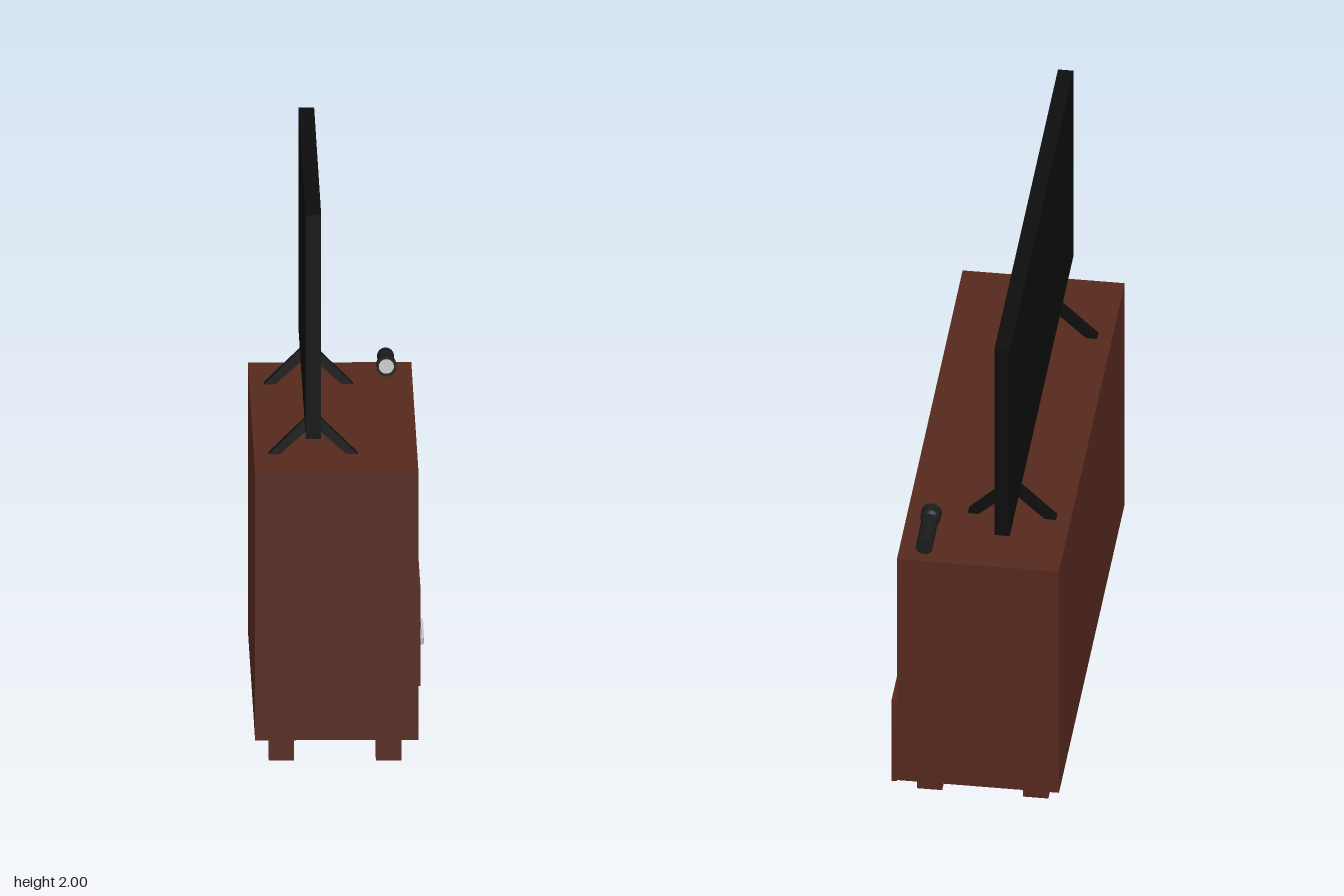
import * as THREE from 'three';

const wood = new THREE.MeshStandardMaterial({ color: 0x56291e });
const black = new THREE.MeshStandardMaterial({ color: 0x0d0d0d });
const dark = new THREE.MeshStandardMaterial({ color: 0x1a1c1c });
const grey = new THREE.MeshStandardMaterial({ color: 0xcccccc });

export function createModel() {
  const model = new THREE.Group();

  const add = (parent, name, geometry, material) => {
    const mesh = new THREE.Mesh(geometry, material);
    mesh.name = name;
    parent.add(mesh);
    return mesh;
  };
  // Box given by its extents along each axis
  const box = (parent, name, [x0, x1], [y0, y1], [z0, z1], material = wood) => {
    const mesh = add(parent, name, new THREE.BoxGeometry(x1 - x0, y1 - y0, z1 - z0), material);
    mesh.position.set((x0 + x1) / 2, (y0 + y1) / 2, (z0 + z1) / 2);
    return mesh;
  };

  // Cabinet carcass, open towards +x
  const cabinet = new THREE.Group();
  cabinet.name = 'cabinet';
  model.add(cabinet);
  const depth = [-0.31, 0.27];
  const inner = [-0.2, 0.27];
  const shelfDepth = [-0.2, 0.213];
  box(cabinet, 'topPanel', depth, [1.03, 1.065], [-0.877, 0.877]);
  box(cabinet, 'bottomPanel', depth, [0.095, 0.13], [-0.877, 0.877]);
  box(cabinet, 'leftSidePanel', depth, [0.13, 1.03], [0.82, 0.877]);
  box(cabinet, 'rightSidePanel', depth, [0.13, 1.03], [-0.877, -0.82]);
  box(cabinet, 'backPanel', [-0.31, -0.2], [0.13, 1.03], [-0.82, 0.82]);
  box(cabinet, 'divider', inner, [0.13, 1.03], [-0.005, 0.015]);

  // Shelves
  for (const y of [0.325, 0.773])
    box(cabinet, 'shelf', shelfDepth, [y, y + 0.022], [0.015, 0.82]);
  box(cabinet, 'drawerTopShelf', shelfDepth, [0.418, 0.44], [-0.82, -0.005]);

  // Support poles
  for (const [z, y0, y1] of [[0.125, 0.13, 1.03], [-0.085, 0.44, 1.03]]) {
    const pole = add(cabinet, 'pole', new THREE.CylinderGeometry(0.017, 0.017, y1 - y0, 24), grey);
    pole.position.set(0.15, (y0 + y1) / 2, z);
  }

  // Feet
  for (const x of [-0.215, 0.165])
    for (const z of [-0.742, 0.742])
      box(cabinet, 'foot', [x - 0.045, x + 0.045], [0, 0.095], [z - 0.045, z + 0.045]);

  // Drawer front with a bent strip handle
  box(cabinet, 'drawerFront', [0.27, 0.29], [0.09, 0.44], [-0.877, 0.01]);
  const strip = new THREE.Shape();
  strip.moveTo(-0.175, 0);
  strip.quadraticCurveTo(-0.155, 0.02, -0.13, 0.02);
  strip.lineTo(0.13, 0.02);
  strip.quadraticCurveTo(0.155, 0.02, 0.175, 0);
  strip.lineTo(0.163, 0);
  strip.quadraticCurveTo(0.15, 0.011, 0.13, 0.011);
  strip.lineTo(-0.13, 0.011);
  strip.quadraticCurveTo(-0.15, 0.011, -0.163, 0);
  const handleGeo = new THREE.ExtrudeGeometry(strip, { depth: 0.024, bevelEnabled: false, curveSegments: 8 });
  handleGeo.rotateX(Math.PI / 2).rotateY(Math.PI / 2);
  add(cabinet, 'drawerHandle', handleGeo, grey).position.set(0.288, 0.19, -0.475);

  // Television
  const television = new THREE.Group();
  television.name = 'television';
  model.add(television);
  box(television, 'screen', [-0.13, -0.075], [1.185, 2], [-0.85, 0.85], black);

  // Forked stands, widening towards the floor
  const fork = new THREE.Shape([
    [-0.158, 0], [-0.118, 0], [0, 0.105], [0.118, 0], [0.158, 0], [0.022, 0.135], [-0.022, 0.135],
  ].map(([x, y]) => new THREE.Vector2(x, y)));
  const forkGeo = new THREE.ExtrudeGeometry(fork, { depth: 1, bevelEnabled: false });
  forkGeo.translate(0, 0, -0.5);
  const p = forkGeo.attributes.position;
  for (let i = 0; i < p.count; i++)
    p.setZ(i, p.getZ(i) * (0.038 - 0.1 * p.getY(i)));
  forkGeo.computeVertexNormals();
  for (const z of [-0.55, 0.55])
    add(television, 'stand', forkGeo, black).position.set(-0.1, 1.065, z);

  // Flashlight lying on the cabinet, lens towards +z
  const flashlight = new THREE.Group();
  flashlight.name = 'flashlight';
  const profile = [
    [0, 0], [0.03, 0], [0.03, 0], [0.03, 0.155], [0.03, 0.155], [0.036, 0.168], [0.036, 0.168],
    [0.036, 0.208], [0.036, 0.208], [0.027, 0.208], [0.027, 0.208], [0.027, 0.198],
  ].map(([r, y]) => new THREE.Vector2(r, y));
  const body = add(flashlight, 'flashlightBody', new THREE.LatheGeometry(profile, 32), dark);
  body.rotation.x = Math.PI / 2;
  add(flashlight, 'flashlightLens', new THREE.CircleGeometry(0.027, 32), grey).position.z = 0.2;
  flashlight.position.set(0.178, 1.097, -0.839);
  flashlight.rotation.x = -0.04;
  model.add(flashlight);

  return model;
}
